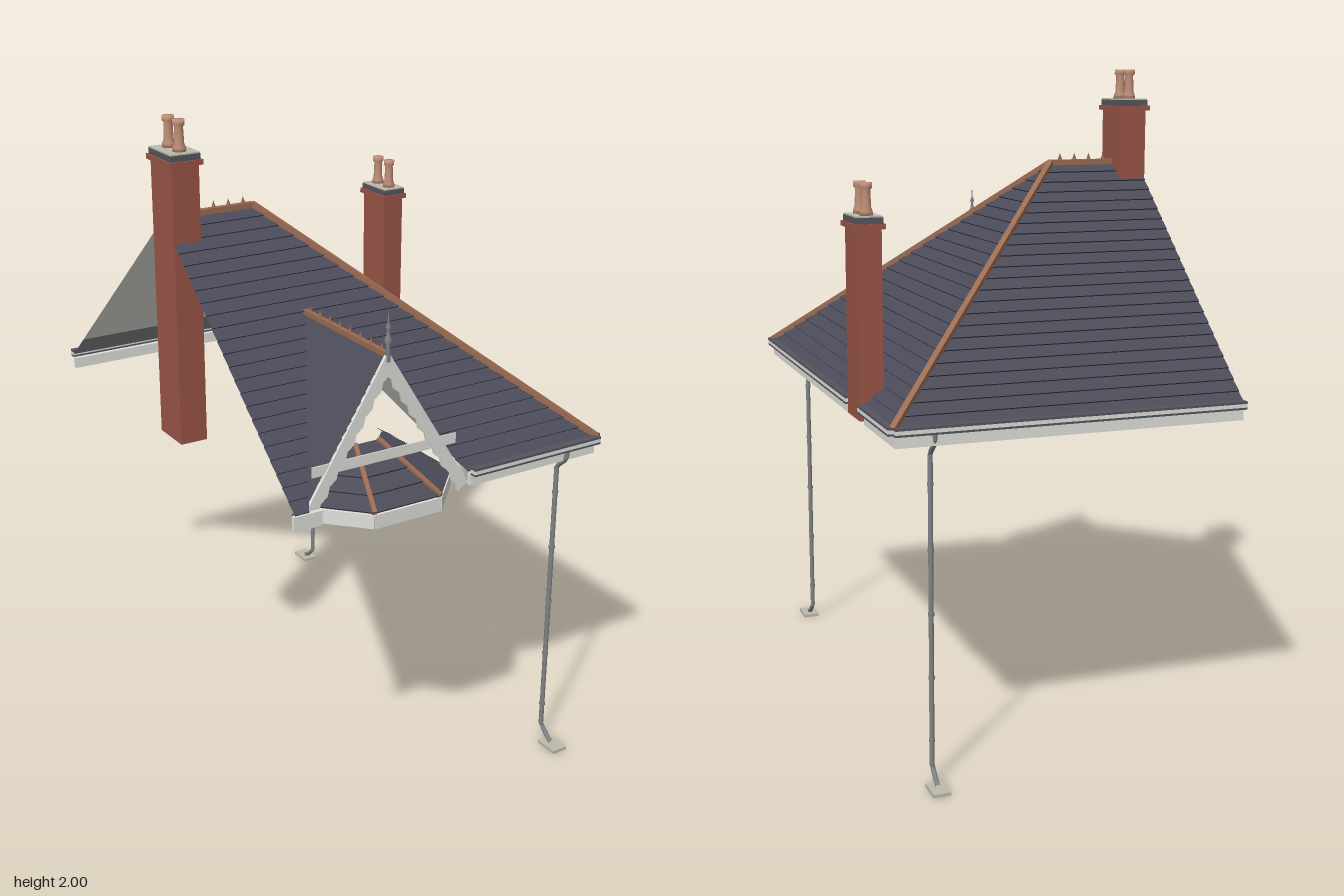
import * as THREE from 'three';

const mat = (name, color) => {
  const m = new THREE.MeshStandardMaterial({ color });
  m.name = name;
  return m;
};
const M = {
  slate: mat('slate', 0x4c4b59),
  slateEdge: mat('slateEdge', 0x3b3a45),
  brick: mat('brick', 0x9a5546),
  terracotta: mat('terracotta', 0x9c6b52),
  pot: mat('chimneyPot', 0xc09078),
  stone: mat('stone', 0xbdb9aa),
  paint: mat('paintedTimber', 0xdfdfda),
  lead: mat('lead', 0x828487),
  gutter: mat('darkGutter', 0x55565d),
};
const V = (x, y, z) => new THREE.Vector3(x, y, z);

export function createModel() {
  const root = new THREE.Group();
  root.name = 'hippedRoof';

  const add = (name, geo, material, parent = root) => {
    const m = new THREE.Mesh(geo, material);
    m.name = name;
    parent.add(m);
    return m;
  };
  const box = (name, x0, x1, y0, y1, z0, z1, material, parent) => {
    const g = new THREE.BoxGeometry(x1 - x0, y1 - y0, z1 - z0);
    g.translate((x0 + x1) / 2, (y0 + y1) / 2, (z0 + z1) / 2);
    return add(name, g, material, parent);
  };
  // Straight bar between two points
  const bar = (name, a, b, w, h, material) => {
    const m = add(name, new THREE.BoxGeometry(w, h, a.distanceTo(b)), material);
    m.position.copy(a).add(b).multiplyScalar(0.5);
    m.lookAt(b);
    return m;
  };

  // Keep the part of a convex polygon above (sign 1) or below (sign -1) a height
  const clip = (pts, y, sign) => pts.flatMap((p, i) => {
    const q = pts[(i + 1) % pts.length];
    const dp = (p.y - y) * sign, dq = (q.y - y) * sign;
    const out = dp >= 0 ? [p] : [];
    if (dp * dq < 0) out.push(p.clone().lerp(q, dp / (dp - dq)).setY(y));
    return out;
  });
  const fan = (out, p) => {
    for (let i = 1; i < p.length - 1; i++) out.push(p[0], p[i], p[i + 1]);
  };
  const surface = (name, tri, material) => {
    if (!tri.length) return;
    const g = new THREE.BufferGeometry().setFromPoints(tri);
    g.computeVertexNormals();
    add(name, g, material);
  };

  // Roof slope laid in overlapping slate courses, painted inside above liningY
  const slope = (name, points, rowHeight, liningY) => {
    let pts = points;
    const n = V(0, 0, 0);
    pts.forEach((p, i) => {
      const q = pts[(i + 1) % pts.length];
      n.add(p.clone().sub(pts[0]).cross(q.clone().sub(pts[0])));
    });
    n.normalize();
    if (n.y < 0) { n.negate(); pts = [...pts].reverse(); }
    const ys = pts.map(p => p.y), lo = Math.min(...ys), hi = Math.max(...ys);
    const rows = Math.round((hi - lo) / rowHeight), h = (hi - lo) / rows;
    const faces = [], risers = [];
    for (let r = 0; r < rows; r++) {
      const y0 = lo + r * h, y1 = r === rows - 1 ? hi : y0 + h;
      const band = clip(clip(pts, y0, 1), y1, -1);
      const up = band.map(p => p.clone().addScaledVector(n, 0.0045 * (y1 - p.y) / h));
      fan(faces, up);
      band.forEach((p, i) => {
        const j = (i + 1) % band.length;
        if (p.y < y0 + 1e-4 && band[j].y < y0 + 1e-4) fan(risers, [p, band[j], up[j], up[i]]);
      });
    }
    surface(name + 'Slates', faces, M.slate);
    surface(name + 'CourseEdges', risers, M.slateEdge);
    const under = pts.map(p => p.clone().addScaledVector(n, -0.003)).reverse();
    const inner = [], eave = [];
    fan(inner, clip(under, liningY, 1));
    fan(eave, clip(under, liningY, -1));
    surface(name + 'Lining', inner, M.paint);
    surface(name + 'EavesUnderside', eave, M.lead);
  };

  // Main roof: front slope in two halves around the dormer opening
  const EAVE = 1.05, TOP = 1.705, RZ = -0.02, CX = -0.23;
  const front = (x, z) => V(x, TOP - (z - RZ) * (TOP - EAVE) / 0.76, z);
  const apex = V(-0.24, TOP, RZ);
  const cornerF = V(0.52, EAVE, 0.74), cornerB = V(0.52, EAVE, -0.78);
  slope('frontLeftHalf', [front(-0.54, RZ), front(CX, RZ), front(CX, 0.28), front(-0.495, 0.74), front(-0.54, 0.74)], 0.028, 1.13);
  slope('frontRightHalf', [front(CX, RZ), apex, cornerF, front(0.035, 0.74), front(CX, 0.28)].filter(p => p !== apex), 0.028, 1.13);
  slope('hipEnd', [apex, cornerF, cornerB], 0.028, 1.13);
  slope('back', [V(-0.54, TOP, RZ), apex, cornerB, V(-0.54, EAVE, -0.78)], 0.028, 1.13);

  // Dormer slopes, with a verge strip running down past the valley
  const dormer = (s, d, z) => V(CX + s * d, 1.45 - 1.53 * d, z);
  for (const s of [-1, 1]) {
    const side = s < 0 ? 'Right' : 'Left';
    slope('dormer' + side, [dormer(s, 0, 0.28), dormer(s, 0, 0.715), dormer(s, 0.23, 0.715), dormer(s, 0.23, 0.68)], 0.028, 0);
    slope('dormerVerge' + side, [dormer(s, 0.23, 0.68), dormer(s, 0.23, 0.715), dormer(s, 0.283, 0.715), dormer(s, 0.283, 0.68)], 0.028, 0);
  }

  // Bay roof: half octagon rising to a smaller one
  const plan = [[-0.235, 0.6], [-0.235, 0.70], [-0.11, 0.83], [0.11, 0.83], [0.235, 0.70], [0.235, 0.6]];
  const bayEave = plan.map(([x, z]) => V(CX + x, 1.045, z));
  const bayTop = plan.map(([x, z]) => V(CX + x * 0.35, 1.155, 0.5 + (z - 0.5) * 0.35));
  for (let i = 0; i < 5; i++) {
    slope('bay' + (i + 1), [bayEave[i], bayEave[i + 1], bayTop[i + 1], bayTop[i]], 0.027, 9);
    const drop = V(0, -0.024, 0);
    bar('bayFascia', bayEave[i].clone().add(drop), bayEave[i + 1].clone().add(drop), 0.008, 0.042, M.paint);
    if (i === 2 || i === 3) bar('bayHip', bayEave[i], bayTop[i], 0.013, 0.018, M.terracotta);
  }

  // Ridge and hip tiles with pointed crests
  bar('hipTilesFront', apex, cornerF, 0.018, 0.026, M.terracotta);
  bar('hipTilesBack', apex, cornerB, 0.018, 0.026, M.terracotta);
  bar('mainRidge', V(-0.45, TOP, RZ), V(-0.235, TOP, RZ), 0.018, 0.022, M.terracotta);
  bar('dormerRidge', V(CX, 1.449, 0.28), V(CX, 1.449, 0.715), 0.014, 0.018, M.terracotta);
  const crest = (x, y, z) => add('ridgeCrest', new THREE.ConeGeometry(0.009, 0.024, 4), M.terracotta).position.set(x, y, z);
  for (let i = 0; i < 4; i++) crest(-0.42 + i * 0.05, TOP + 0.02, RZ);
  for (let i = 0; i < 8; i++) crest(CX, 1.467, 0.31 + i * 0.054);

  // Bargeboards with a scalloped inner edge
  for (const s of [-1, 1]) {
    const at = (t, d) => [CX + s * (0.285 * t - d * 0.84 * (t > 0.03 ? 1 : 0)), 1.46 - 0.455 * t - d * (t > 0.03 ? 0.54 : 1.8)];
    const shape = new THREE.Shape();
    shape.moveTo(...at(0, 0));
    shape.lineTo(...at(1, 0));
    for (let i = 20; i >= 2; i--) shape.lineTo(...at(i / 20, i % 2 ? 0.033 : 0.042));
    shape.lineTo(...at(0, 0.038));
    const g = new THREE.ExtrudeGeometry(shape, { depth: 0.01, bevelEnabled: false });
    g.translate(0, 0, 0.711);
    add('bargeboard', g, M.paint);
    const x = CX + s * 0.262;
    box('bargeboardFoot', x - 0.014, x + 0.014, 1.005, 1.03, 0.685, 0.715, M.paint);
  }
  box('collarBeam', -0.47, 0.01, 1.137, 1.168, 0.712, 0.716, M.paint);

  // Finial
  const finial = [[0, 1.43], [0.008, 1.43], [0.006, 1.48], [0.012, 1.492], [0.006, 1.505], [0.004, 1.52], [0.008, 1.53], [0.003, 1.54], [0, 1.58]];
  add('finial', new THREE.LatheGeometry(finial.map(p => new THREE.Vector2(...p)), 8), M.lead).position.set(CX, 0, 0.718);

  // Fascias and gutters; the side run stops either side of the chimney
  const eaves = [
    ['front', 0.05, 0.515, 0.725, 0.74, 0.05, 0.52, 0.74, 0.762],
    ['back', -0.54, 0.515, -0.78, -0.765, -0.54, 0.52, -0.802, -0.78],
    ['sideRear', 0.50, 0.515, -0.78, -0.468, 0.515, 0.535, -0.78, -0.468],
    ['sideFront', 0.50, 0.515, -0.337, 0.74, 0.515, 0.535, -0.337, 0.74],
  ];
  for (const [n, a, b, c, d, e, f, g, h] of eaves) {
    box(n + 'Fascia', a, b, 1.0, 1.036, c, d, M.paint);
    box(n + 'GutterBase', e, f, 1.036, 1.042, g, h, M.gutter);
    box(n + 'GutterFace', e, f, 1.042, 1.053, g, h, M.paint);
    box(n + 'GutterRim', e, f, 1.053, 1.06, g, h, M.gutter);
  }
  box('frontShortFascia', -0.54, -0.45, 1.0, 1.045, 0.725, 0.738, M.paint);

  // Chimneys with corbelled caps and two pots each
  const chimney = (name, x0, x1, z0, z1, top) => {
    const g = new THREE.Group();
    g.name = name;
    root.add(g);
    const layer = (n, o, y0, y1, m) => box(n, x0 - o, x1 + o, y0, y1, z0 - o, z1 + o, m, g);
    layer('stack', 0, 1.01, top - 0.025, M.brick);
    layer('corbel', 0.01, top - 0.025, top - 0.01, M.brick);
    layer('capBand', 0.004, top - 0.01, top + 0.008, M.gutter);
    layer('capTop', 0.003, top + 0.008, top + 0.012, M.stone);
    const r = [[0, 0.01], [0.021, 0.01], [0.019, 0.025], [0.015, 0.035], [0.013, 0.085], [0.018, 0.09], [0.018, 0.105], [0, 0.105]];
    for (const s of [-1, 1]) {
      const pot = add('pot', new THREE.LatheGeometry(r.map(p => new THREE.Vector2(...p)), 12), M.pot, g);
      pot.position.set((x0 + x1) / 2, top - 0.001, (z0 + z1) / 2 + s * 0.034);
    }
  };
  chimney('ridgeChimney', -0.54, -0.452, -0.083, 0.055, 1.896);
  chimney('sideChimney', 0.455, 0.527, -0.468, -0.337, 1.585);

  // Downpipes with swan necks, joints and splash pads
  for (const [name, s, z] of [['frontDownpipe', 1, 0.705], ['backDownpipe', -1, 0.735]]) {
    const path = new THREE.CurvePath();
    const p = [[0.045, 1.035], [0.04, 1.005], [0, 0.97], [0, 0.055], [0.04, 0.018], [0.055, 0.012]]
      .map(([d, y]) => V(0.402, y, s * (z + d)));
    for (let i = 0; i < p.length - 1; i++) path.add(new THREE.LineCurve3(p[i], p[i + 1]));
    add(name, new THREE.TubeGeometry(path, 60, 0.0075, 8), M.lead);
    for (let i = 0; i < 5; i++) {
      add('pipeJoint', new THREE.CylinderGeometry(0.0095, 0.0095, 0.01, 8), M.lead).position.set(0.402, 0.13 + i * 0.188, s * z);
    }
    const a = s * (z + 0.02), b = s * (z + 0.098);
    box('splashPad', 0.377, 0.429, 0, 0.01, Math.min(a, b), Math.max(a, b), M.stone);
  }
  return root;
}
